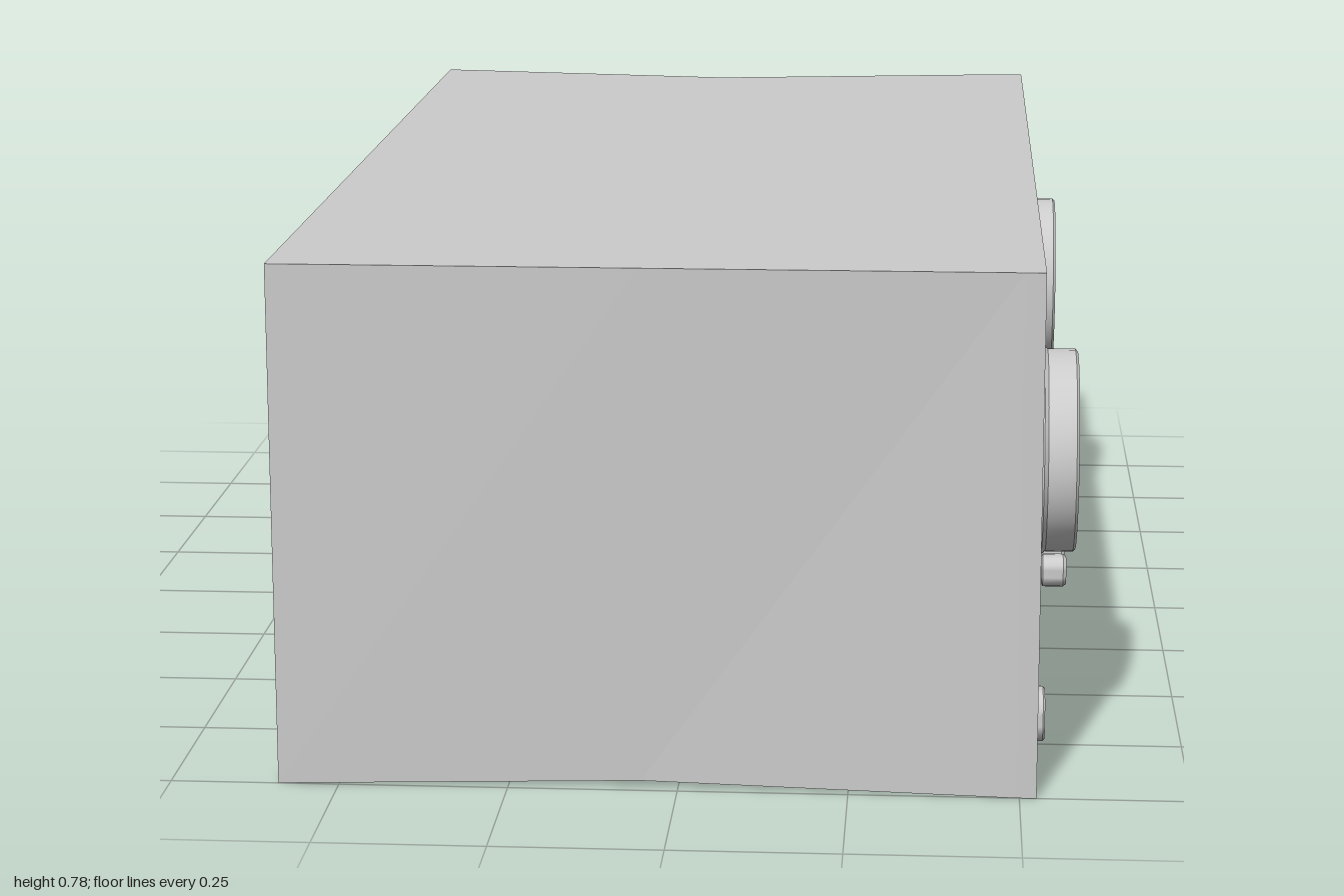
import * as THREE from 'three';
import { toCreasedNormals } from 'three/addons/utils/BufferGeometryUtils.js';

const FRONT = 0.525;                 // plane of the control face (faces +x)
const CU = 0.019, CV = 0.4075;       // centre of the round window, u = -z, v = y
const CHORD = 0.203;                 // distance of the slanted cuts from the centre

export function createModel() {
  const group = new THREE.Group();
  const mat = new THREE.MeshStandardMaterial({ color: 0xcccccc });

  const add = (name, geo) => {
    const mesh = new THREE.Mesh(geo, mat);
    mesh.name = name;
    group.add(mesh);
    return mesh;
  };

  // extrude a (u, v) outline along +x, ending at x = front
  const plate = (name, shape, front, depth) => {
    const geo = new THREE.ExtrudeGeometry(shape, { depth, bevelEnabled: false, curveSegments: 32 });
    geo.rotateY(Math.PI / 2);
    geo.translate(front - depth, 0, 0);
    return add(name, geo);
  };

  // turned part standing on the control face; profile = [radius, height] pairs
  const turned = (name, profile, z, y, segments) => {
    const pts = profile.map(([r, h]) => new THREE.Vector2(r, h));
    const geo = toCreasedNormals(new THREE.LatheGeometry(pts, segments), 0.6);
    geo.rotateZ(-Math.PI / 2);
    geo.translate(FRONT, y, z);
    return add(name, geo);
  };

  // cabinet: box with a middle row of vertices pulled slightly inward
  const back = FRONT - 0.03;
  const body = new THREE.BoxGeometry(back + 0.59, 0.78, 2, 2, 1, 1);
  body.translate((back - 0.59) / 2, 0.39, 0);
  const p = body.attributes.position;
  const mid = (back - 0.59) / 2;
  for (let i = 0; i < p.count; i++) {
    if (Math.abs(p.getX(i) - mid) > 0.01) continue;
    const top = p.getY(i) > 0.4, rear = p.getZ(i) < 0;
    p.setX(i, -0.055);
    if (rear) {
      p.setZ(i, -0.978);
      if (top) p.setY(i, 0.772);
    } else if (!top) {
      p.setY(i, 0.01);
      p.setZ(i, 0.985);
    }
  }
  const flatBody = body.toNonIndexed();
  flatBody.computeVertexNormals();
  add('cabinet', flatBody);

  // round outline with two slanted cuts
  const windowPath = (r, path) => {
    const a = Math.acos(CHORD / r), q = Math.PI / 4;
    path.absarc(CU, CV, r, q + a, q + Math.PI - a, false);
    path.absarc(CU, CV, r, q + Math.PI + a, q + 2 * Math.PI - a, false);
    path.closePath();
    return path;
  };

  // control face with the window opening
  const face = new THREE.Shape();
  face.moveTo(-1, 0).lineTo(1, 0).lineTo(1, 0.78).lineTo(-1, 0.78).closePath();
  face.holes.push(windowPath(0.253, new THREE.Path()));
  plate('controlFace', face, FRONT, 0.03);

  // stepped lip inside the window
  const lip = windowPath(0.253, new THREE.Shape());
  lip.holes.push(windowPath(0.246, new THREE.Path()));
  plate('windowLip', lip, FRONT - 0.008, 0.022);

  // two raised panels, one the other turned by half a turn about the window
  const R = 0.273, gap = 0.018, halfW = 0.583, halfH = 0.3035;
  const a0 = Math.acos(CHORD / R);
  const outline = [[gap, halfH], [halfW, halfH], [halfW, -halfH], [gap, -halfH]];
  const start = -Math.acos(gap / R), end = Math.PI / 4 - a0;
  for (let i = 0; i <= 24; i++) {
    const a = start + (end - start) * i / 24;
    outline.push([R * Math.cos(a), R * Math.sin(a)]);
  }
  outline.push([gap, CHORD * Math.SQRT2 - gap]);
  for (const [name, s] of [['rearPanel', 1], ['frontPanel', -1]]) {
    const shape = new THREE.Shape(outline.map(([u, v]) => new THREE.Vector2(CU + s * u, CV + s * v)));
    plate(name, shape, FRONT + 0.006, 0.008);
  }

  // large knobs with a base flange and softened rim
  const knob = [[0.16, 0], [0.16, 0.008], [0.155, 0.014], [0.155, 0.056], [0.151, 0.06], [0, 0.06]];
  turned('frontKnob', knob, 0.64, 0.435, 48);
  turned('rearKnob', knob, -0.68, 0.435, 48);

  // small push buttons
  const button = [[0.022, 0], [0.022, 0.016], [0.026, 0.018], [0.026, 0.05], [0.022, 0.055], [0, 0.056]];
  for (const z of [0.457, 0.355, 0.248, -0.27, -0.37, -0.478]) {
    turned('smallButton', button, z, 0.193, 24);
  }

  // power button with a raised ring
  turned('powerButton', [[0.041, 0], [0.041, 0.01], [0.038, 0.013], [0.034, 0.013], [0.034, 0.008], [0, 0.008]],
    0.87, 0.088, 32);

  return group;
}
